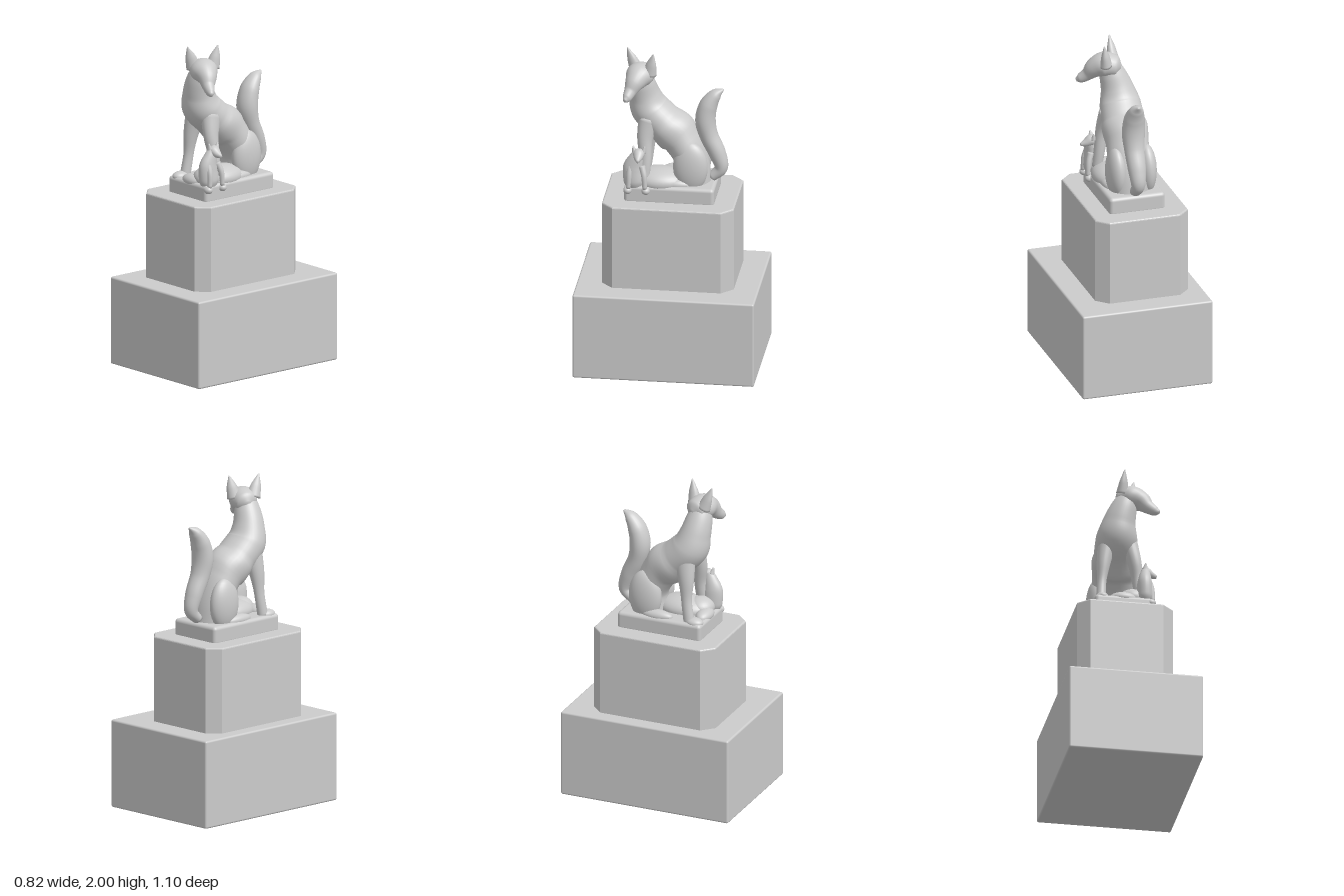
import * as THREE from 'three';
import { RoundedBoxGeometry } from 'three/addons/geometries/RoundedBoxGeometry.js';

const material = new THREE.MeshStandardMaterial({ color: 0xcccccc, roughness: 0.8 });
const V = (x, y, z) => new THREE.Vector3(x, y, z);

export function createModel() {
  const model = new THREE.Group();

  function add(name, geometry, x = 0, y = 0, z = 0, parent = model) {
    const mesh = new THREE.Mesh(geometry, material);
    mesh.name = name;
    mesh.position.set(x, y, z);
    parent.add(mesh);
    return mesh;
  }

  // Smooth limb through rows of [x, y, z, radius along side, radius across side]
  function limb(name, rows, parent, side = V(1, 0, 0), around = 24) {
    const path = new THREE.CatmullRomCurve3(rows.map(r => V(r[0], r[1], r[2])));
    const radii = new THREE.CatmullRomCurve3(rows.map(r => V(r[3], r[4], 0)));
    const steps = (rows.length - 1) * 6;
    const pos = [], index = [];
    for (let i = 0; i <= steps; i++) {
      const t = i / steps;
      const c = path.getPoint(t), r = radii.getPoint(t), dir = path.getTangent(t);
      const s = side.clone().addScaledVector(dir, -side.dot(dir)).normalize();
      const n = dir.clone().cross(s);
      for (let j = 0; j < around; j++) {
        const a = j / around * Math.PI * 2;
        const p = c.clone()
          .addScaledVector(s, Math.cos(a) * Math.max(r.x, 0.002))
          .addScaledVector(n, Math.sin(a) * Math.max(r.y, 0.002));
        pos.push(p.x, p.y, p.z);
        if (i < steps) {
          const k = i * around, b = k + (j + 1) % around;
          index.push(k + j, b, k + j + around, b, b + around, k + j + around);
        }
      }
    }
    // end caps
    const first = pos.length / 3, end = steps * around;
    pos.push(...path.getPoint(0).toArray(), ...path.getPoint(1).toArray());
    for (let j = 0; j < around; j++) {
      const k = (j + 1) % around;
      index.push(first, k, j, first + 1, end + j, end + k);
    }
    const g = new THREE.BufferGeometry();
    g.setAttribute('position', new THREE.Float32BufferAttribute(pos, 3));
    g.setIndex(index);
    g.computeVertexNormals();
    return add(name, g, 0, 0, 0, parent);
  }

  function blob(name, [x, y, z], [rx, ry, rz], parent) {
    return add(name, new THREE.SphereGeometry(1, 28, 18).scale(rx, ry, rz), x, y, z, parent);
  }

  // Pedestal: wide block, block with scooped corners, small plinth
  add('pedestalBase', new RoundedBoxGeometry(0.82, 0.54, 1.1, 3, 0.012), 0, 0.27, 0);

  const w = 0.283, d = 0.39, c = 0.065, e = 0.012;
  const outline = new THREE.Shape();
  outline.moveTo(w - c, -d);
  for (const [sx, sz, flip] of [[1, -1, 0], [1, 1, 1], [-1, 1, 0], [-1, -1, 1]]) {
    const corner = [[sx * (w - c), sz * d], [sx * (w - c + e), sz * (d - e)],
      [sx * (w - e), sz * (d - c + e)], [sx * w, sz * (d - c)]];
    if (flip) corner.reverse();
    corner.forEach(p => outline.lineTo(...p));
  }
  outline.closePath();
  const block = new THREE.ExtrudeGeometry(outline, {
    depth: 0.515, bevelThickness: 0.01, bevelSize: 0.01, bevelSegments: 3,
  });
  add('pedestalBlock', block.rotateX(-Math.PI / 2), -0.03, 0.54, 0);
  add('plinth', new RoundedBoxGeometry(0.35, 0.115, 0.545, 4, 0.022), -0.025, 1.105, 0);

  // Seated fox
  const fox = new THREE.Group();
  fox.name = 'fox';
  model.add(fox);

  limb('body', [
    [-0.02, 1.13, -0.13, 0.12, 0.11], [-0.02, 1.28, -0.12, 0.13, 0.1],
    [-0.03, 1.42, -0.05, 0.13, 0.115], [-0.04, 1.52, 0.06, 0.13, 0.115],
    [-0.045, 1.6, 0.14, 0.125, 0.115], [-0.035, 1.69, 0.17, 0.1, 0.095],
    [-0.01, 1.78, 0.185, 0.08, 0.08], [0.015, 1.85, 0.19, 0.06, 0.06],
  ], fox, V(1, 0, 0), 36);

  limb('tail', [
    [-0.02, 1.18, -0.24, 0.035, 0.03], [-0.02, 1.24, -0.295, 0.042, 0.04],
    [-0.02, 1.34, -0.27, 0.055, 0.052], [-0.02, 1.45, -0.22, 0.062, 0.056],
    [-0.02, 1.55, -0.2, 0.07, 0.062], [-0.02, 1.65, -0.22, 0.064, 0.055],
    [-0.02, 1.72, -0.265, 0.042, 0.035], [-0.02, 1.752, -0.308, 0.008, 0.006],
  ], fox);

  // Head turned to the fox's left
  const across = V(-0.47, 0, 0.88);
  limb('head', [
    [-0.055, 1.83, 0.15, 0.015, 0.015], [-0.03, 1.835, 0.16, 0.065, 0.06],
    [0.035, 1.845, 0.19, 0.085, 0.075], [0.09, 1.82, 0.212, 0.062, 0.062],
    [0.13, 1.775, 0.235, 0.038, 0.04], [0.17, 1.745, 0.252, 0.026, 0.029],
    [0.192, 1.735, 0.262, 0.01, 0.012],
  ], fox, across);
  for (const [name, base, tip] of [
    ['rightEar', [-0.025, 1.86, 0.22], [-0.02, 1.995, 0.272]],
    ['leftEar', [0.045, 1.86, 0.13], [0.065, 1.995, 0.105]],
  ]) {
    const mid = base.map((v, i) => (v + tip[i]) / 2);
    limb(name, [[...base, 0.045, 0.038], [...mid, 0.032, 0.024], [...tip, 0.003, 0.003]], fox, across, 16);
  }

  limb('rightFrontLeg', [
    [-0.105, 1.55, 0.13, 0.055, 0.07], [-0.128, 1.42, 0.15, 0.041, 0.05],
    [-0.142, 1.28, 0.16, 0.028, 0.033], [-0.15, 1.15, 0.18, 0.03, 0.034],
  ], fox);
  blob('rightFrontPaw', [-0.15, 1.16, 0.215], [0.042, 0.03, 0.055], fox);
  limb('leftFrontLeg', [
    [0.03, 1.56, 0.13, 0.055, 0.07], [0.06, 1.44, 0.155, 0.042, 0.048],
    [0.08, 1.32, 0.15, 0.035, 0.036], [0.095, 1.2, 0.16, 0.032, 0.036],
  ], fox);

  // Folded hind legs
  for (const side of [-1, 1]) {
    const label = side < 0 ? 'right' : 'left';
    blob(label + 'Haunch', [-0.03 + side * 0.095, 1.27, -0.12], [0.06, 0.16, 0.105], fox);
    blob(label + 'HindPaw', [-0.03 + side * 0.12, 1.165, -0.03], [0.04, 0.035, 0.1], fox);
  }

  // Cub lying between the front legs
  blob('lyingCubBody', [0.03, 1.17, 0.07], [0.12, 0.075, 0.17], model);
  blob('lyingCubShoulder', [0.045, 1.18, 0.17], [0.09, 0.065, 0.085], model);
  blob('lyingCubHead', [-0.02, 1.16, 0.225], [0.085, 0.04, 0.05], model);

  // Small cub sitting up at the fox's left
  const cub = new THREE.Group();
  cub.name = 'sittingCub';
  model.add(cub);
  limb('cubBody', [
    [0.11, 1.13, 0.21, 0.03, 0.04], [0.11, 1.19, 0.215, 0.05, 0.065],
    [0.11, 1.27, 0.22, 0.045, 0.062], [0.115, 1.33, 0.205, 0.035, 0.045],
    [0.12, 1.38, 0.19, 0.022, 0.025],
  ], cub);
  limb('cubHead', [
    [0.095, 1.365, 0.185, 0.015, 0.015], [0.12, 1.365, 0.185, 0.036, 0.034],
    [0.155, 1.35, 0.185, 0.026, 0.024], [0.19, 1.34, 0.185, 0.008, 0.01],
  ], cub, V(0, 0, 1), 16);
  for (const side of [-1, 1]) {
    const z = 0.185 + side * 0.026;
    limb('cubEar', [[0.115, 1.375, z, 0.018, 0.016], [0.118, 1.412, z + side * 0.01, 0.004, 0.004]], cub, V(1, 0, 0), 10);
    limb('cubArm', [
      [0.13, 1.29, 0.2 + side * 0.035, 0.02, 0.02], [0.15, 1.23, 0.195 + side * 0.045, 0.017, 0.017],
      [0.155, 1.15, 0.195 + side * 0.05, 0.014, 0.014],
    ], cub, V(1, 0, 0), 12);
    blob('cubPaw', [0.145, 1.135, 0.195 + side * 0.055], [0.03, 0.024, 0.026], cub);
  }
  return model;
}
